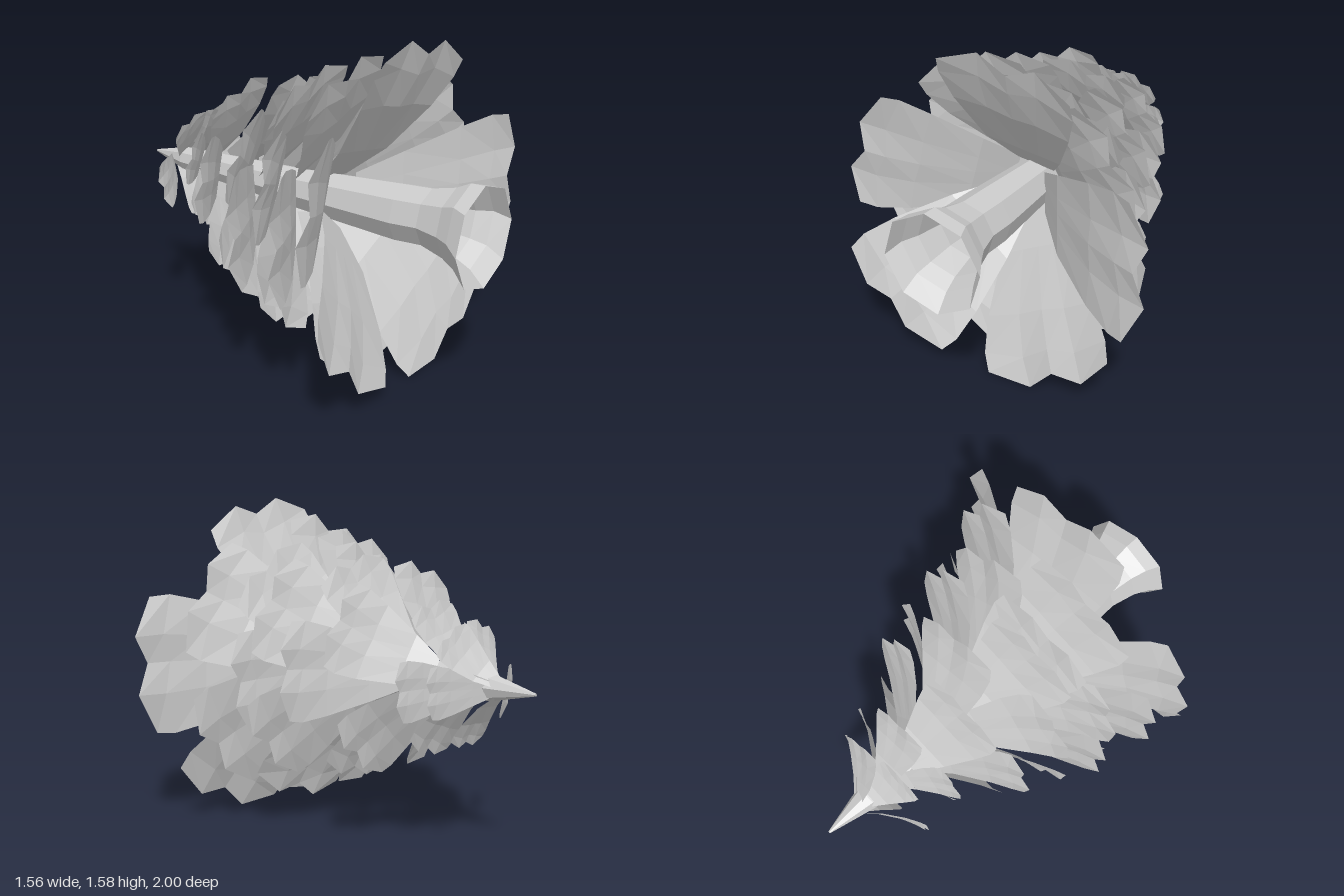
import * as THREE from 'three';

const material = new THREE.MeshStandardMaterial({
  color: 0xcccccc, flatShading: true, side: THREE.DoubleSide,
});

// Joins rows of points (all the same length) into a faceted sheet
function sheet(rows, closed = false) {
  const n = rows[0].length, pos = rows.flat(2), index = [];
  for (let i = 0; i < rows.length - 1; i++) {
    for (let j = 0; j < (closed ? n : n - 1); j++) {
      const a = i * n + j, b = i * n + (j + 1) % n;
      index.push(a, b, a + n, b, b + n, a + n);
    }
  }
  const g = new THREE.BufferGeometry();
  g.setAttribute('position', new THREE.Float32BufferAttribute(pos, 3));
  g.setIndex(index);
  g.computeVertexNormals();
  return g;
}

// Tree axis lies along z: root at z = 1, tip at z = -1
const AXIS_Y = 0.8;
const axisX = z => -0.035 - 0.015 * z;

// Bough profile: [radius, rise towards the tip, half width], as shares of its reach
const PROFILE = [
  [0.13, 0.55, 0.13], [0.32, 0.35, 0.25], [0.62, 0.15, 0.37], [0.84, 0.05, 0.42], [1, 0, 0.41],
];
const COLUMNS = [-1, -0.4, 0.05, 0.45, 1];
const JAGGED = [0.88, 1, 0.93, 1.01, 0.9];

// One drooping bough: a sheet that widens outwards and ends in a jagged edge
function boughGeometry(reach, mirror) {
  return sheet(PROFILE.map(([r, rise, w]) => COLUMNS.map((u, j) => [
    r * (1 + (JAGGED[j] - 1) * r ** 3) * reach, u * w * reach * mirror, -rise * reach,
  ])));
}

// Tiers from root to tip; each bough is [angle in degrees, reach, z of outer edge]
const TIERS = [
  [[0, 0.81, 0.7], [81, 0.77, 0.61], [164, 0.73, 0.58], [228, 0.79, 0.67], [296, 0.82, 0.64]],
  [[32, 0.7, 0.5], [108, 0.69, 0.41], [180, 0.7, 0.4], [255, 0.73, 0.48], [325, 0.71, 0.43]],
  [[-6, 0.59, 0.26], [55, 0.6, 0.31], [106, 0.63, 0.2], [160, 0.61, 0.23], [222, 0.63, 0.23],
    [285, 0.69, 0.29]],
  [[36, 0.6, 0.15], [110, 0.57, 0.13], [184, 0.65, 0.12], [250, 0.62, 0.11], [322, 0.6, 0.18]],
  [[4, 0.55, -0.02], [75, 0.53, -0.06], [147, 0.54, 0], [215, 0.57, -0.02], [285, 0.52, -0.08]],
  [[35, 0.5, -0.22], [107, 0.5, -0.26], [167, 0.49, -0.22], [240, 0.47, -0.26], [315, 0.49, -0.28]],
  [[-4, 0.33, -0.51], [80, 0.35, -0.48], [155, 0.31, -0.47], [225, 0.3, -0.47], [290, 0.34, -0.51]],
  [[-3, 0.28, -0.64], [58, 0.28, -0.65], [115, 0.28, -0.63], [196, 0.3, -0.67], [275, 0.28, -0.66]],
];

export function createModel() {
  const model = new THREE.Group();
  model.name = 'firTree';

  // Hollow eight-sided trunk, flared at the root and pointed at the tip: [z, radius, centre height]
  const rings = [
    [1, 0.237, 0.792], [0.93, 0.2, 0.825], [0.86, 0.165, 0.825], [0.74, 0.135, 0.825], [0.6, 0.135, 0.815],
    [0, 0.1, 0.8], [-0.5, 0.075, 0.8], [-0.77, 0.062, 0.8], [-1, 0.006, 0.8],
  ].map(([z, r, y]) => Array.from({ length: 8 }, (_, k) => {
    const a = (k + 0.1) * Math.PI / 4;
    return [axisX(z) + r * Math.cos(a), y + r * Math.sin(a), z];
  }));
  const trunk = new THREE.Mesh(sheet(rings, true), material);
  trunk.name = 'trunk';
  model.add(trunk);

  // Overlapping tiers of boughs
  TIERS.forEach((boughs, t) => {
    const tier = new THREE.Group();
    tier.name = `boughTier${t + 1}`;
    boughs.forEach(([angle, reach, z], i) => {
      const bough = new THREE.Mesh(boughGeometry(reach, i % 2 ? -1 : 1), material);
      bough.name = 'bough';
      bough.position.set(axisX(z), AXIS_Y, z);
      bough.rotation.z = THREE.MathUtils.degToRad(angle);
      tier.add(bough);
    });
    model.add(tier);
  });
  return model;
}
